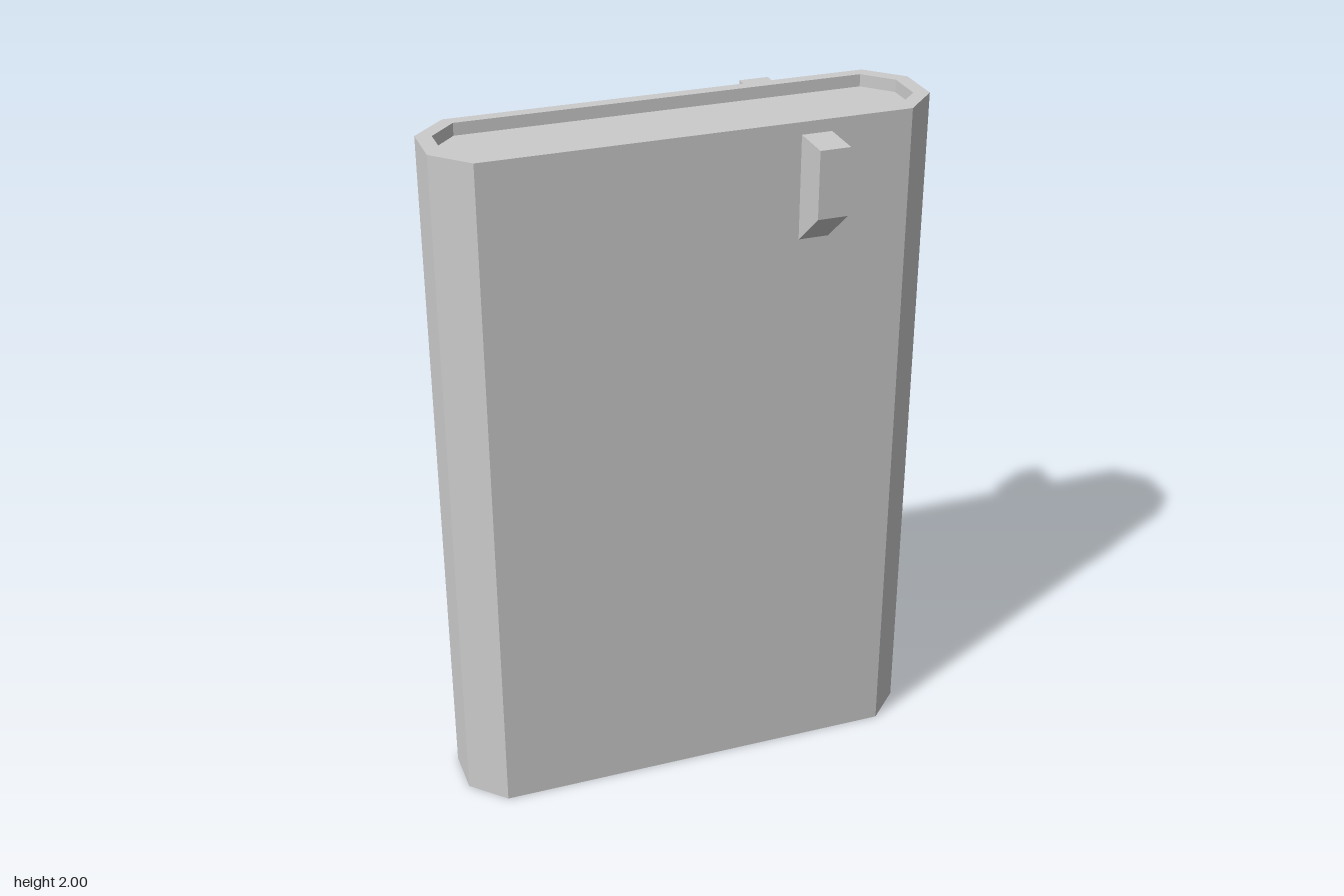
import * as THREE from 'three';

// Octagonal outline: half sizes x, z and where the corner cuts begin
function outline(x, z, cutX, cutZ) {
  return [[x, cutZ], [cutX, z], [-cutX, z], [-x, cutZ], [-x, -cutZ], [-cutX, -z], [cutX, -z], [x, -cutZ]];
}

// Flat-sided skin between successive [outline, height] rings
function loft(rings) {
  const pos = [];
  for (let r = 0; r < rings.length - 1; r++) {
    const [lo, y0] = rings[r], [hi, y1] = rings[r + 1];
    for (let i = 0; i < lo.length; i++) {
      const j = (i + 1) % lo.length;
      const a = [lo[i][0], y0, lo[i][1]], b = [lo[j][0], y0, lo[j][1]];
      const c = [hi[j][0], y1, hi[j][1]], d = [hi[i][0], y1, hi[i][1]];
      pos.push(...a, ...c, ...b, ...a, ...d, ...c);
    }
  }
  const geo = new THREE.BufferGeometry();
  geo.setAttribute('position', new THREE.Float32BufferAttribute(pos, 3));
  geo.computeVertexNormals();
  return geo;
}

export function createModel() {
  const model = new THREE.Group();
  const mat = new THREE.MeshStandardMaterial({ color: 0xcccccc, flatShading: true, side: THREE.DoubleSide });
  const add = (name, geo) => {
    const mesh = new THREE.Mesh(geo, mat);
    mesh.name = name;
    model.add(mesh);
    return mesh;
  };

  const outer = outline(0.69, 0.165, 0.595, 0.07);
  const inner = outline(0.648, 0.13, 0.575, 0.055);
  const floorY = 1.965;

  // Thin outer wall, open at the bottom
  add('shell', loft([[outer, 0], [outer, 2]]));

  // Top lip and the short wall dropping into the recess
  add('rim', loft([[outer, 2], [inner, 2], [inner, floorY]]));

  // Recessed top panel
  const panel = new THREE.ShapeGeometry(new THREE.Shape(inner.map(([x, z]) => new THREE.Vector2(x, z))));
  panel.rotateX(-Math.PI / 2);
  add('topPanel', panel).position.y = floorY;

  // Catch on each broad face, with a sloped underside
  const profile = new THREE.Shape([[0.165, 1.67], [0.288, 1.775], [0.288, 1.965], [0.165, 1.965]]
    .map(([z, y]) => new THREE.Vector2(z, y)));
  for (const side of [1, -1]) {
    const geo = new THREE.ExtrudeGeometry(profile, { depth: 0.085, bevelEnabled: false });
    geo.translate(0, 0, -0.0425);
    geo.rotateY(-side * Math.PI / 2);
    add(side > 0 ? 'frontCatch' : 'backCatch', geo).position.x = 0.3225;
  }
  return model;
}
